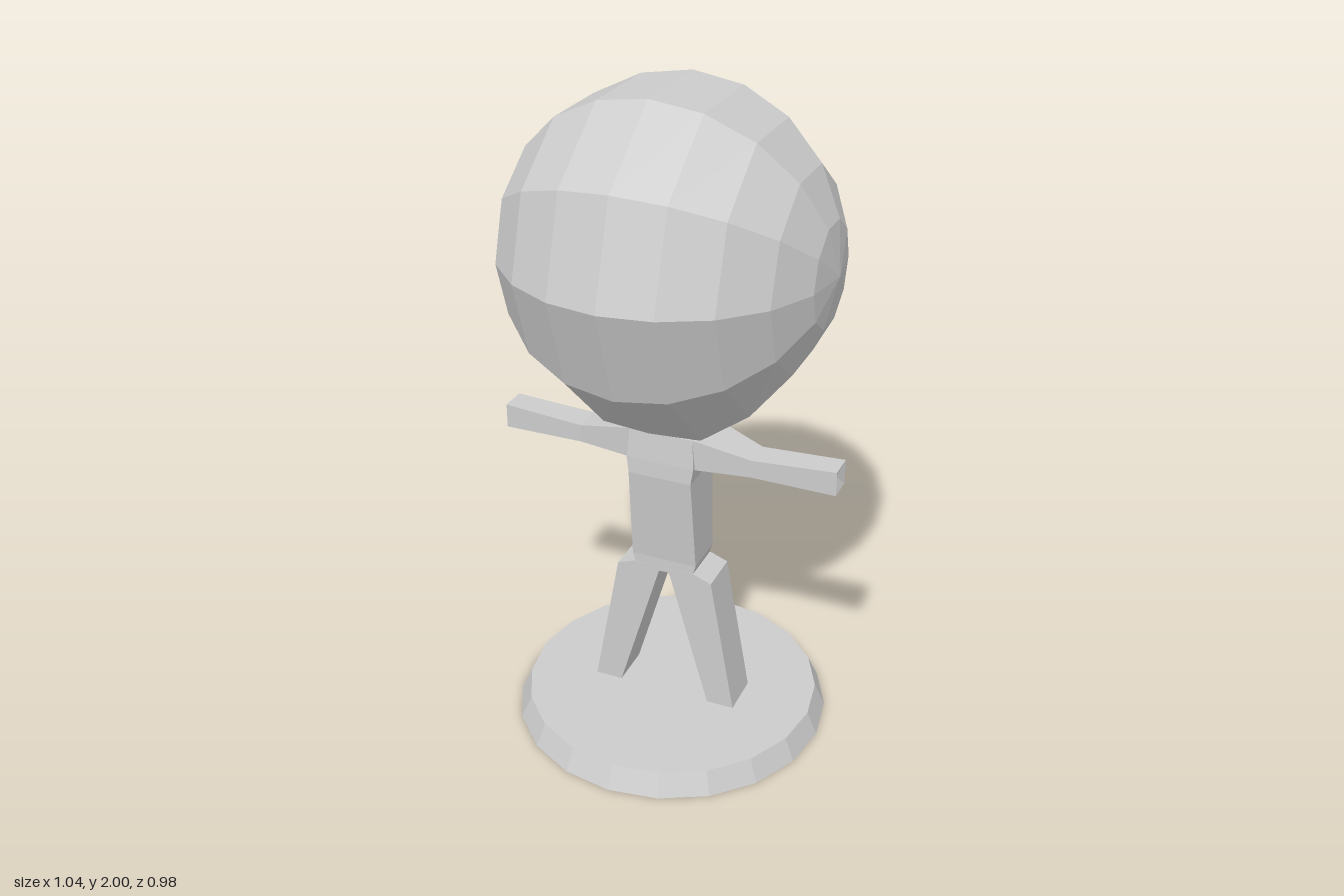
import * as THREE from 'three';

const material = new THREE.MeshStandardMaterial({ color: 0xcccccc, flatShading: true });

// Skin a row of four-cornered sections; each section is a list of [x, y, z] corners.
// capDepth pushes the middle of the last cap inwards along x.
function loft(sections, capDepth = 0) {
  const pos = [];
  const tri = (a, b, c) => pos.push(...a, ...b, ...c);
  for (let i = 0; i < sections.length - 1; i++) {
    const lo = sections[i], hi = sections[i + 1];
    for (let j = 0; j < 4; j++) {
      const k = (j + 1) % 4;
      tri(lo[j], lo[k], hi[k]);
      tri(lo[j], hi[k], hi[j]);
    }
  }
  const cap = (s, flip, depth) => {
    const mid = [0, 1, 2].map((a) => (s[0][a] + s[1][a] + s[2][a] + s[3][a]) / 4);
    mid[0] -= depth;
    for (let j = 0; j < 4; j++) {
      const k = (j + 1) % 4;
      if (flip) tri(s[k], s[j], mid);
      else tri(s[j], s[k], mid);
    }
  };
  cap(sections[0], true, 0);
  cap(sections[sections.length - 1], false, capDepth);
  const geo = new THREE.BufferGeometry();
  geo.setAttribute('position', new THREE.Float32BufferAttribute(pos, 3));
  geo.computeVertexNormals();
  return geo;
}

// Level section at height y, and upright section at distance x.
const level = ([y, x0, x1, z0, z1]) => [[x0, y, z1], [x1, y, z1], [x1, y, z0], [x0, y, z0]];
const upright = ([x, y0, y1, z0, z1]) => [[x, y0, z0], [x, y1, z0], [x, y1, z1], [x, y0, z1]];

// Mirror a geometry to the -x side, keeping faces outward.
function mirrorX(geo) {
  const p = geo.clone().scale(-1, 1, 1);
  const a = p.attributes.position;
  for (let i = 0; i < a.count; i += 3) {
    const b = [a.getX(i + 1), a.getY(i + 1), a.getZ(i + 1)];
    a.setXYZ(i + 1, a.getX(i + 2), a.getY(i + 2), a.getZ(i + 2));
    a.setXYZ(i + 2, ...b);
  }
  p.computeVertexNormals();
  return p;
}

// Ball with poles on the x axis and its underside drawn down to the neck.
function headGeometry() {
  const geo = new THREE.SphereGeometry(0.483, 10, 10).rotateZ(Math.PI / 2).rotateX(Math.PI / 2);
  const p = geo.attributes.position;
  for (let i = 0; i < p.count; i++) {
    const x = Math.abs(p.getX(i)), y = p.getY(i), z = p.getZ(i);
    const r = Math.hypot(y, z);
    if (r < 0.35 || y / r > -0.8) continue;
    if (x < 0.2) p.setY(i, -0.495);
    else p.setY(i, y - 0.03);
    if (x < 0.05) p.setXYZ(i, p.getX(i), z > 0 ? -0.495 : -0.51, z > 0 ? 0.16 : -0.205);
  }
  geo.computeVertexNormals();
  return geo;
}

export function createModel() {
  const model = new THREE.Group();
  const add = (name, geo) => {
    const mesh = new THREE.Mesh(geo, material);
    mesh.name = name;
    model.add(mesh);
    return mesh;
  };

  // Round stand with a sloping rim
  add('base', new THREE.CylinderGeometry(0.455, 0.487, 0.07, 20)).position.y = 0.035;

  // Torso from crotch to neck: height, half width, back, front
  add('torso', loft([
    [0.515, 0.09, -0.07, 0.065],
    [0.56, 0.103, -0.07, 0.065],
    [0.86, 0.098, -0.075, 0.098],
    [0.91, 0.105, -0.077, 0.095],
    [1.0, 0.098, -0.08, 0.085],
    [1.07, 0.06, -0.06, 0.05],
  ].map(([y, w, z0, z1]) => level([y, -w, w, z0, z1]))));

  // Spread legs
  const leg = loft([
    level([0.06, 0.15, 0.235, -0.065, 0.07]),
    level([0.51, 0.018, 0.153, -0.07, 0.066]),
    level([0.53, 0.005, 0.1, -0.07, 0.066]),
  ]);
  add('leftLeg', leg);
  add('rightLeg', mirrorX(leg));

  // Outstretched arms with a dimpled end
  const arm = loft([
    upright([0.05, 0.895, 1.0, -0.075, 0.085]),
    upright([0.1, 0.905, 1.0, -0.075, 0.085]),
    upright([0.27, 0.905, 0.96, -0.03, 0.06]),
    upright([0.52, 0.9, 0.975, -0.025, 0.055]),
  ], 0.015);
  add('leftArm', arm);
  add('rightArm', mirrorX(arm));

  // Oversized faceted head
  add('head', headGeometry()).position.set(0, 1.54, 0.008);

  return model;
}
